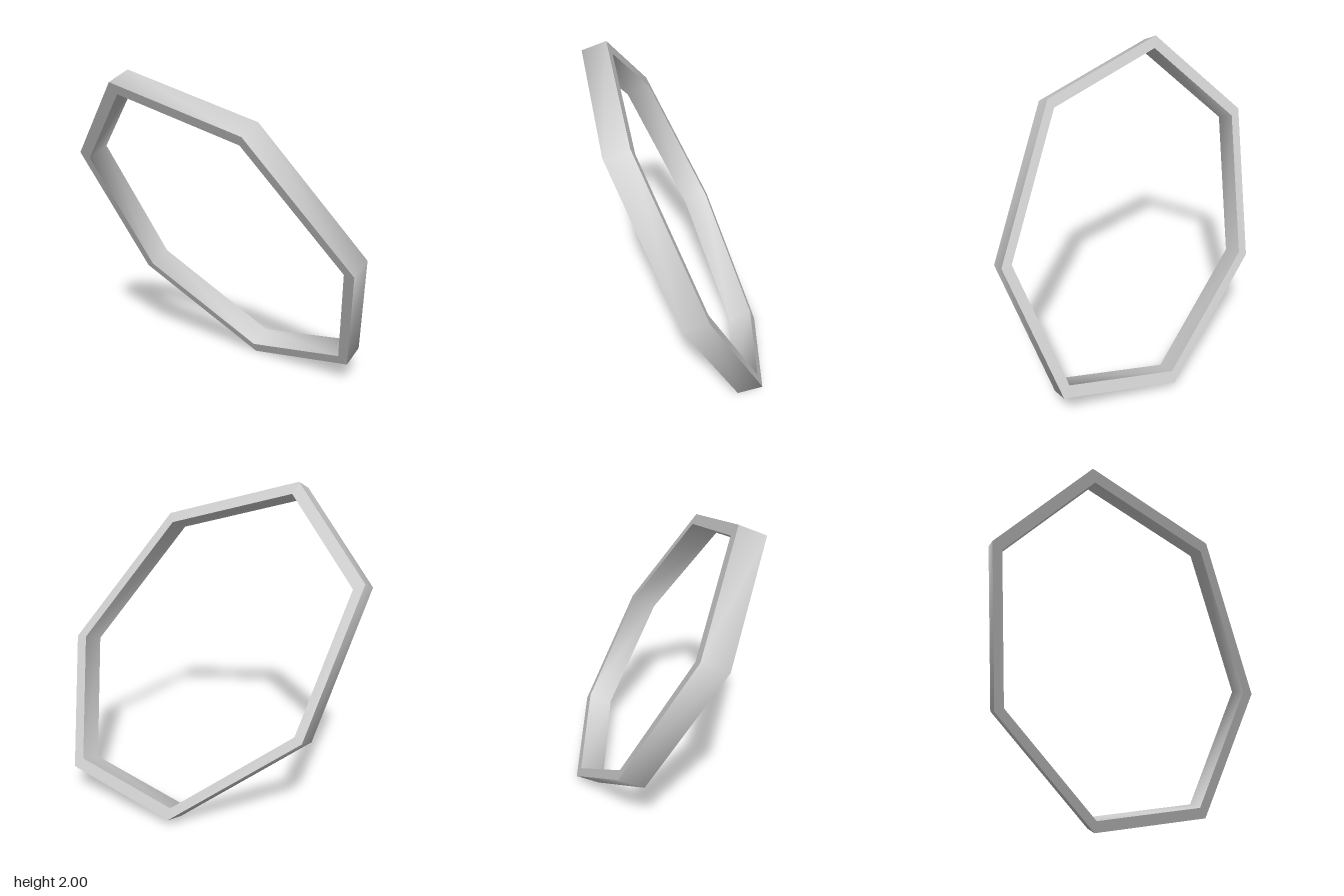
import * as THREE from 'three';
import { toCreasedNormals } from 'three/addons/utils/BufferGeometryUtils.js';

const SIDES = 7;

// Corners of a regular polygon with the given radius
function polygon(radius) {
  return Array.from({ length: SIDES }, (_, i) => {
    const a = (i / SIDES) * Math.PI * 2;
    return new THREE.Vector2(radius * Math.cos(a), radius * Math.sin(a));
  });
}

export function createModel() {
  const group = new THREE.Group();
  group.name = 'tiltedRing';

  // Unit heptagonal band with a heptagonal opening, centred on its depth
  const shape = new THREE.Shape(polygon(1));
  shape.holes.push(new THREE.Path(polygon(0.93)));
  const band = new THREE.ExtrudeGeometry(shape, { depth: 1, bevelEnabled: false });
  band.translate(0, 0, -0.5);

  // Stretch and tilt the band: long radius, short radius, wall depth, centre
  const placement = new THREE.Matrix4().makeBasis(
    new THREE.Vector3(-0.607, 0.982, -0.133),
    new THREE.Vector3(0.333, 0.165, 0.781),
    new THREE.Vector3(0.135, 0.058, -0.063)
  ).setPosition(-0.0285, 0.989, -0.0305);
  band.applyMatrix4(placement);

  // Walls shade smoothly around the ring, rims stay sharp
  const geometry = toCreasedNormals(band, THREE.MathUtils.degToRad(76));
  const ring = new THREE.Mesh(geometry, new THREE.MeshStandardMaterial({ color: 0xcccccc }));
  ring.name = 'heptagonalRing';
  group.add(ring);

  return group;
}
